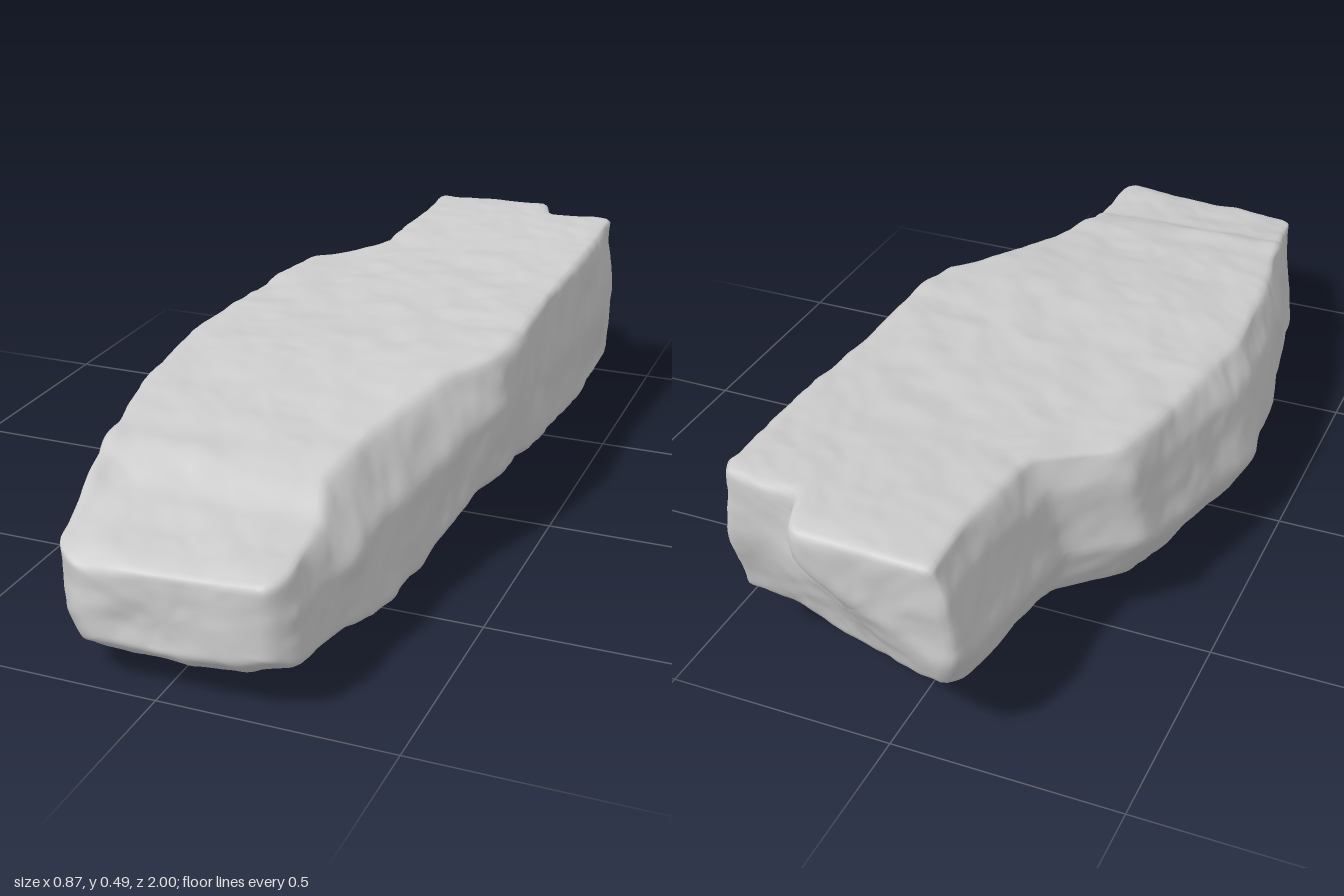
import * as THREE from 'three';

const { lerp, smoothstep } = THREE.MathUtils;

// Cross-sections, front to back:
// z, top-left x, left x, top-right x, right x, top-left y, top-right y, right-low y, bottom y, left-low y
const SECTIONS = [
  [.995, -.17, -.165, .235, .24, .255, .28, .125, .095, .10],
  [.95, -.23, -.215, .26, .275, .275, .29, .105, .055, .065],
  [.75, -.26, -.285, .24, .30, .315, .307, .09, .033, .045],
  [.65, -.28, -.315, .21, .32, .365, .36, .065, .025, .04],
  [.42, -.32, -.37, .25, .335, .385, .39, .065, .015, .038],
  [.22, -.345, -.405, .315, .40, .398, .425, .165, -.002, .04],
  [.10, -.355, -.42, .39, .425, .403, .44, .17, -.002, .045],
  [-.03, -.335, -.43, .405, .425, .408, .445, .155, .005, .075],
  [-.30, -.305, -.36, .405, .425, .417, .457, .12, .025, .08],
  [-.45, -.27, -.33, .407, .425, .422, .462, .11, .033, .10],
  [-.57, -.125, -.19, .41, .427, .44, .467, .10, .045, .11],
  [-.80, -.105, -.17, .41, .427, .455, .478, .11, .08, .12],
  [-.93, -.11, -.165, .41, .425, .46, .479, .13, .115, .145],
  [-.995, -.115, -.15, .395, .41, .458, .472, .15, .155, .17],
];

// Smooth lattice noise in -1..1
function hash(x, y, z) {
  const s = Math.sin(x * 127.1 + y * 311.7 + z * 74.7) * 43758.5453;
  return (s - Math.floor(s)) * 2 - 1;
}
function noise(x, y, z) {
  const ix = Math.floor(x), iy = Math.floor(y), iz = Math.floor(z);
  const u = smoothstep(x - ix, 0, 1), v = smoothstep(y - iy, 0, 1), w = smoothstep(z - iz, 0, 1);
  const row = (b, c) => lerp(hash(ix, iy + b, iz + c), hash(ix + 1, iy + b, iz + c), u);
  return lerp(lerp(row(0, 0), row(1, 0), v), lerp(row(0, 1), row(1, 1), v), w);
}

// Faceted outline of the slab at depth z, clockwise from the top left corner
function outline(z) {
  let k = 0;
  while (k < SECTIONS.length - 2 && z < SECTIONS[k + 1][0]) k++;
  const a = SECTIONS[k], b = SECTIONS[k + 1], t = (z - a[0]) / (b[0] - a[0]);
  const [, xTL, xL, xTR, xR, yTL, yTR, yRL, yB, yLL] = a.map((v, i) => lerp(v, b[i], t));
  return [
    [xTL, yTL], [xTR, yTR],
    [lerp(xTR, xR, .85), lerp(yTR, yRL, .4)], [xR, yRL],
    [lerp(xL, xR, .82), lerp(yB, yRL, .3)], [lerp(xL, xR, .45), yB],
    [lerp(xL, xR, .16), lerp(yB, yLL, .5)], [lerp(xL, xR, .06), yLL],
    [xL, lerp(yLL, yTL, .3)], [lerp(xL, xTL, .4), lerp(yLL, yTL, .78)],
  ];
}

// Points per outline edge: the wide top gets the most
const EDGE_STEPS = [44, 8, 14, 10, 18, 14, 10, 8, 12, 7];

function ring(z, scale) {
  const pts = outline(z), out = [];
  const cx = pts.reduce((s, p) => s + p[0], 0) / pts.length;
  const cy = pts.reduce((s, p) => s + p[1], 0) / pts.length;
  pts.forEach((p, e) => {
    const q = pts[(e + 1) % pts.length];
    for (let s = 0; s < EDGE_STEPS[e]; s++) {
      const t = s / EDGE_STEPS[e];
      out.push(new THREE.Vector3(
        lerp(cx, lerp(p[0], q[0], t), scale), lerp(cy, lerp(p[1], q[1], t), scale), z));
    }
  });
  return out;
}

function rockGeometry() {
  // End faces are rings shrinking to a point; the body is a loft between them
  const rings = [], SLICES = 130, CAP = 12, END = SECTIONS[0][0];
  for (let i = 0; i < CAP; i++) rings.push(ring(END, i / CAP));
  for (let i = 0; i <= SLICES; i++) rings.push(ring(END * (1 - 2 * i / SLICES), 1));
  for (let i = CAP - 1; i >= 0; i--) rings.push(ring(-END, i / CAP));
  const n = rings[0].length;

  for (const r of rings) for (const p of r) {
    // Back right corner: a sharp step at the top that fades to a slanted face below
    const high = smoothstep(p.y, .15, .42);
    const cut = smoothstep(p.x, lerp(-.25, .19, high), lerp(.45, .23, high));
    const keep = lerp(.42, .64, smoothstep(p.y, .1, .35));
    if (p.z < -.7) p.z = lerp(p.z, -.7 + (p.z + .7) * keep, cut);
    // Raised horn at the left end of the front ledge
    if (p.y > .25) p.y += .025 * Math.exp(-(((p.x + .26) / .04) ** 2) - ((p.z - .76) / .05) ** 2);
  }

  // Wear the facet edges round
  for (let pass = 0; pass < 3; pass++) {
    const old = rings.map(r => r.map(p => p.clone()));
    for (let i = 1; i < rings.length - 1; i++) for (let j = 0; j < n; j++) {
      const mean = old[i][(j + 1) % n].clone().add(old[i][(j + n - 1) % n])
        .add(old[i - 1][j]).add(old[i + 1][j]).multiplyScalar(.25);
      rings[i][j].lerp(mean, .5);
    }
  }

  const index = [];
  for (let i = 0; i < rings.length - 1; i++) for (let j = 0; j < n; j++) {
    const a = i * n + j, b = i * n + (j + 1) % n;
    index.push(a, b, a + n, b, b + n, a + n);
  }
  const geo = new THREE.BufferGeometry().setFromPoints(rings.flat());
  geo.setIndex(index);
  geo.computeVertexNormals();

  // Weathered surface: broad dents on the sides, fine chips everywhere
  const pos = geo.attributes.position, nor = geo.attributes.normal;
  const p = new THREE.Vector3(), d = new THREE.Vector3();
  for (let i = 0; i < pos.count; i++) {
    p.fromBufferAttribute(pos, i);
    d.fromBufferAttribute(nor, i);
    const side = 1 - .8 * Math.abs(d.y) - .6 * Math.abs(d.z);
    const bump = .012 * side * noise(p.x * 7, p.y * 7 + 5, p.z * 7)
      + .005 * noise(p.x * 14 + 9, p.y * 14, p.z * 14)
      + .002 * noise(p.x * 34, p.y * 34 + 3, p.z * 38);
    p.addScaledVector(d, bump);
    pos.setXYZ(i, p.x, p.y, p.z);
  }

  // Stand on the ground
  geo.computeBoundingBox();
  geo.translate(0, -geo.boundingBox.min.y, 0);
  geo.computeVertexNormals();
  return geo;
}

export function createModel() {
  const group = new THREE.Group();
  group.name = 'rock';
  const slab = new THREE.Mesh(rockGeometry(), new THREE.MeshStandardMaterial({ color: 0xcccccc }));
  slab.name = 'rockSlab';
  group.add(slab);
  return group;
}
